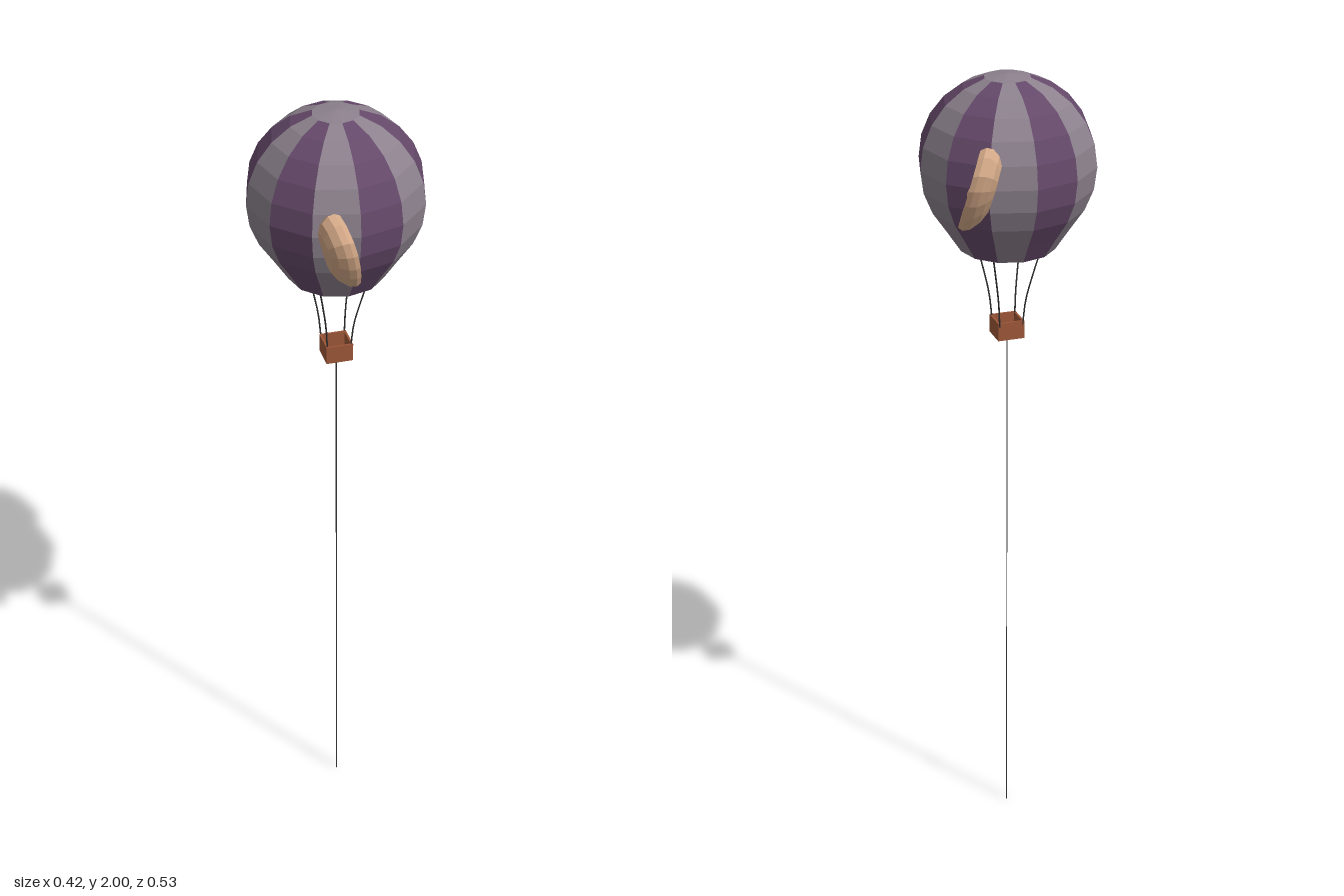
import * as THREE from 'three';

const mat = (color, opts = {}) =>
  new THREE.MeshStandardMaterial({ color, flatShading: true, side: THREE.DoubleSide, ...opts });
const PURPLE = mat(0x65496a), GREY = mat(0x8c818d), SKIN = mat(0xd3a887);
const WICKER = mat(0x9c5638), ROPE = mat(0x333333);

const AXIS_Z = -0.025; // the balloon's axis
const SIDES = 12;

function add(parent, name, geometry, material, x = 0, y = 0, z = 0) {
  const mesh = new THREE.Mesh(geometry, material);
  mesh.name = name;
  mesh.position.set(x, y, z);
  parent.add(mesh);
  return mesh;
}

// Envelope: striped gores below a plain crown, open at the mouth
function makeEnvelope() {
  const g = new THREE.Group();
  g.name = 'envelope';
  const R = 0.212, centerY = 1.788;
  const profile = [new THREE.Vector2(0.115, 1.58), new THREE.Vector2(0.15, 1.633)];
  for (let deg = -30; deg <= 75; deg += 15) {
    const a = THREE.MathUtils.degToRad(deg);
    profile.push(new THREE.Vector2(R * Math.cos(a), centerY + R * Math.sin(a)));
  }
  const step = (Math.PI * 2) / SIDES;
  for (let i = 0; i < SIDES; i++) {
    add(g, 'gore', new THREE.LatheGeometry(profile, 1, i * step, step), i % 2 ? GREY : PURPLE);
  }
  const crown = [profile[profile.length - 1], new THREE.Vector2(0, centerY + R)];
  add(g, 'crown', new THREE.LatheGeometry(crown, SIDES), GREY);
  g.position.z = AXIS_Z;
  return g;
}

// Ear outline as (outward, up), starting at the top and running round the outer rim
const EAR = [
  [0.05, 0.1], [0.083, 0.088], [0.106, 0.052], [0.107, 0.015], [0.095, -0.025], [0.075, -0.062],
  [0.05, -0.097], [0.022, -0.106], [0.002, -0.088], [0.0, -0.03], [0.002, 0.03], [0.02, 0.08],
];
const EAR_MID = [0.045, 0.005];
const TILT = 0.28; // the top leans back
const earPoint = (u, v, w) => [w - v * TILT, v, u];

// Loops run from the back of the ear, over the rim and into the hollow: [scale, depth]
function earGeometry() {
  const loops = [[0.55, -0.042], [0.8, -0.03], [0.97, -0.012], [1, 0.004], [0.93, 0.016],
    [0.8, 0.014], [0.74, 0.0], [0.5, -0.014]];
  const pos = [], index = [], n = EAR.length;
  for (const [s, w] of loops) {
    for (const [u, v] of EAR) {
      pos.push(...earPoint(EAR_MID[0] + (u - EAR_MID[0]) * s, EAR_MID[1] + (v - EAR_MID[1]) * s, w));
    }
  }
  const back = loops.length * n, front = back + 1;
  pos.push(...earPoint(...EAR_MID, -0.045), ...earPoint(...EAR_MID, -0.024));
  for (let i = 0; i < n; i++) {
    const j = (i + 1) % n;
    for (let k = 0; k < loops.length - 1; k++) {
      const a = k * n + i, b = k * n + j;
      index.push(a, b, b + n, a, b + n, a + n);
    }
    const last = (loops.length - 1) * n;
    index.push(back, j, i, last + i, last + j, front);
  }
  const geo = new THREE.BufferGeometry();
  geo.setAttribute('position', new THREE.Float32BufferAttribute(pos, 3));
  geo.setIndex(index);
  geo.computeVertexNormals();
  return geo;
}

function makeEar(name) {
  const g = new THREE.Group();
  g.name = name;
  add(g, 'earShell', earGeometry(), SKIN);
  // Curved fold inside the hollow
  const fold = [[0.045, 0.055, 0], [0.07, 0.03, -0.003], [0.072, -0.01, -0.003], [0.055, -0.045, 0], [0.035, -0.06, 0.003]];
  const curve = new THREE.CatmullRomCurve3(fold.map((p) => new THREE.Vector3(...earPoint(...p))));
  add(g, 'earFold', new THREE.TubeGeometry(curve, 8, 0.009, 6), SKIN);
  // Small flap in front of the ear canal
  const flap = add(g, 'earFlap', new THREE.SphereGeometry(1, 7, 5), SKIN, ...earPoint(0.02, -0.025, 0.006));
  flap.scale.set(0.011, 0.02, 0.013);
  return g;
}

// Basket: floor and four walls, open on top
function makeBasket() {
  const g = new THREE.Group();
  g.name = 'basket';
  const w = 0.066, h = 0.045, t = 0.005;
  add(g, 'basketFloor', new THREE.BoxGeometry(w, t, w), WICKER, 0, t / 2, 0);
  for (const s of [-1, 1]) {
    add(g, 'basketWall', new THREE.BoxGeometry(t, h, w), WICKER, s * (w - t) / 2, h / 2, 0);
    add(g, 'basketWall', new THREE.BoxGeometry(w - 2 * t, h, t), WICKER, 0, h / 2, s * (w - t) / 2);
  }
  g.position.set(0, 1.35, AXIS_Z + 0.003);
  return g;
}

export function createModel() {
  const model = new THREE.Group();
  model.name = 'hotAirBalloon';
  model.add(makeEnvelope(), makeBasket());

  // Ears: one on each side, both with the hollow towards +x
  const frontEar = makeEar('frontEar');
  frontEar.position.set(-0.05, 1.768, 0.152);
  frontEar.rotation.y = 0.12;
  const backEar = makeEar('backEar');
  backEar.position.set(0.118, 1.795, -0.163);
  backEar.rotation.y = -0.4;
  backEar.scale.z = -1;
  model.add(frontEar, backEar);

  // Four sagging ropes from the mouth to the basket corners
  for (const sx of [-1, 1]) {
    for (const sz of [-1, 1]) {
      const path = new THREE.CatmullRomCurve3([
        [0.06, 1.59, 0.07], [0.046, 1.52, 0.052], [0.034, 1.45, 0.036], [0.029, 1.385, 0.029],
      ].map(([x, y, z]) => new THREE.Vector3(sx * x, y, AXIS_Z + sz * z)));
      add(model, 'basketRope', new THREE.TubeGeometry(path, 8, 0.002, 4), ROPE);
    }
  }

  // Flat tether down to the ground
  const tether = add(model, 'tether', new THREE.BoxGeometry(0.002, 1.352, 0.008), ROPE, 0, 0.676, AXIS_Z + 0.003);
  tether.rotation.y = -0.39;
  return model;
}
